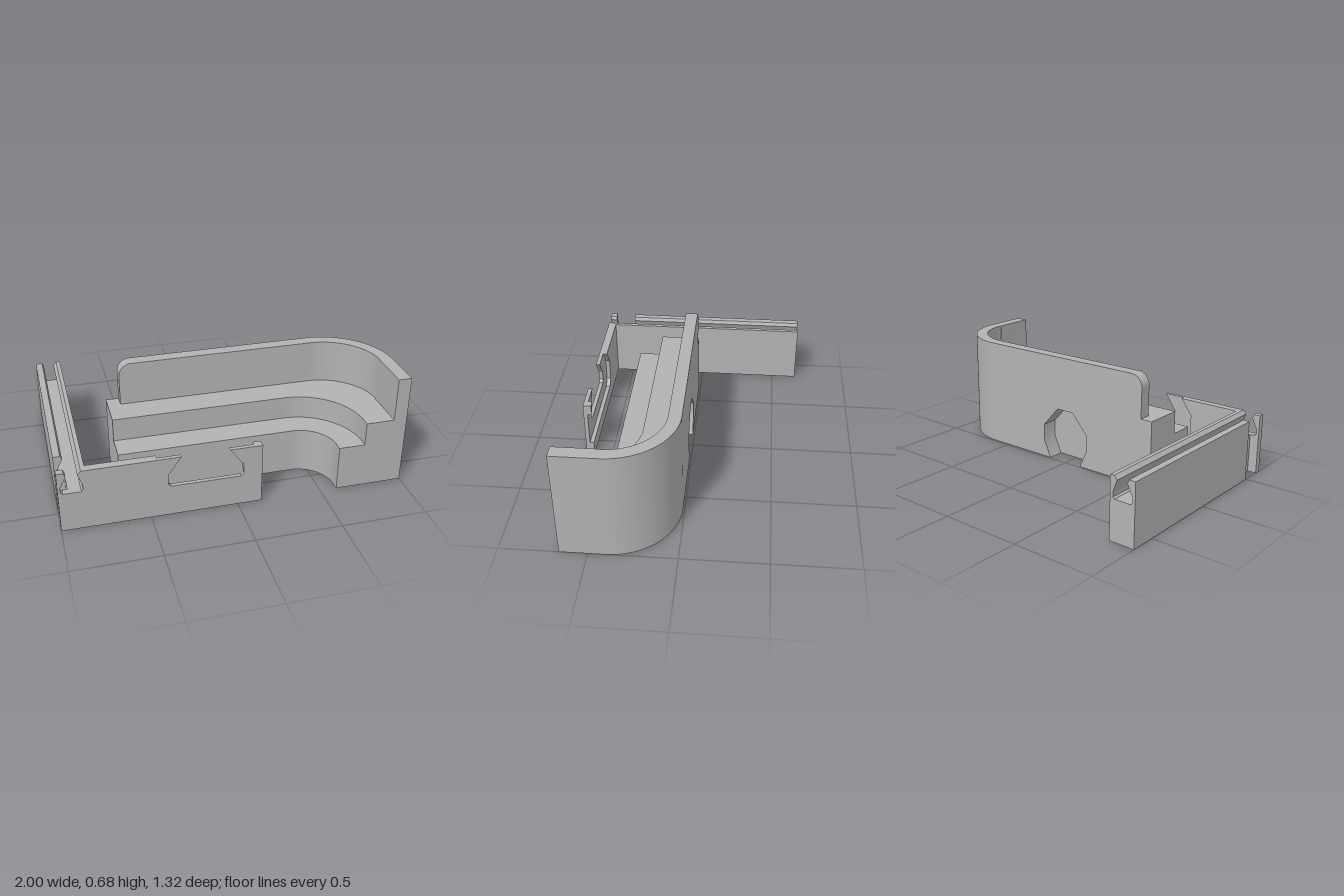
import * as THREE from 'three';
import { toCreasedNormals } from 'three/addons/utils/BufferGeometryUtils.js';

const grey = new THREE.MeshStandardMaterial({ color: 0xb2b2b2 });
grey.name = 'grey';

const polygon = (points) => new THREE.Shape(points.map(([x, y]) => new THREE.Vector2(x, y)));

function extrude(shape, depth) {
  return new THREE.ExtrudeGeometry(shape, { depth, bevelEnabled: false, curveSegments: 24 });
}

function addMesh(group, name, geometry) {
  const mesh = new THREE.Mesh(toCreasedNormals(geometry, 0.5), grey);
  mesh.name = name;
  group.add(mesh);
}

// Front outline (x, y) extruded from z0 to z1
function addUpright(group, name, shape, z0, z1) {
  addMesh(group, name, extrude(shape, z1 - z0).translate(0, 0, z0));
}

// Plan outline (x, z) extruded from y0 to y1
function addLayer(group, name, shape, y0, y1) {
  addMesh(group, name, extrude(shape, y1 - y0).rotateX(Math.PI / 2).translate(0, y1, 0));
}

const LEFT_END = -0.635, BACK = 0.01, FRONT = 0.66, SLOT_BACK = 0.115;

// Curved step in plan; r is the radius of its inner corner
function stepPlan(r) {
  const s = new THREE.Shape();
  s.moveTo(LEFT_END, SLOT_BACK);
  s.lineTo(0.6, SLOT_BACK);
  s.lineTo(0.6, BACK);
  s.lineTo(0.61, BACK);
  s.absarc(0.61, 0.4, 0.39, -Math.PI / 2, 0, false);
  s.lineTo(1, FRONT);
  s.lineTo(0.4 + r, FRONT);
  s.lineTo(0.4 + r, 0.61);
  s.absarc(0.4, 0.61, r, 0, -Math.PI / 2, true);
  s.lineTo(LEFT_END, 0.61 - r);
  s.closePath();
  return s;
}

function buildBody() {
  const body = new THREE.Group();
  body.name = 'steppedBody';

  // Stepped layers, the lowest with a round socket underneath
  const foot = stepPlan(0.2);
  const socket = new THREE.Path();
  socket.absarc(0.76, 0.245, 0.092, 0, Math.PI * 2, true);
  foot.holes.push(socket);
  addLayer(body, 'footLayer', foot, 0, 0.1);
  addLayer(body, 'lowerStep', stepPlan(0.2), 0.1, 0.275);
  addLayer(body, 'upperStep', stepPlan(0.355), 0.275, 0.415);

  // Back slab with a six-sided slot open at the bottom
  addUpright(body, 'slottedBack', polygon([
    [LEFT_END, 0], [-0.11, 0], [-0.16, 0.11], [-0.16, 0.215], [-0.05, 0.34],
    [0.07, 0.34], [0.18, 0.215], [0.18, 0.11], [0.13, 0], [0.6, 0], [0.6, 0.415], [LEFT_END, 0.415],
  ]), BACK, SLOT_BACK);

  // Thin wall: straight run with a rounded top corner, then the bend
  const run = new THREE.Shape();
  run.moveTo(-0.56, 0.415);
  run.lineTo(0.61, 0.415);
  run.lineTo(0.61, 0.675);
  run.lineTo(-0.485, 0.675);
  run.absarc(-0.485, 0.6, 0.075, Math.PI / 2, Math.PI, false);
  run.closePath();
  addUpright(body, 'straightWall', run, BACK, 0.085);

  const bend = new THREE.Shape();
  bend.moveTo(0.61, BACK);
  bend.absarc(0.61, 0.4, 0.39, -Math.PI / 2, 0, false);
  bend.lineTo(1, FRONT);
  bend.lineTo(0.922, FRONT);
  bend.lineTo(0.922, 0.4);
  bend.absarc(0.61, 0.4, 0.315, 0, -Math.PI / 2, true);
  bend.closePath();
  addLayer(body, 'curvedWall', bend, 0.415, 0.675);
  return body;
}

function buildRail() {
  const rail = new THREE.Group();
  rail.name = 'groovedRail';
  const rightHalf = [
    [-0.845, 0], [-0.845, 0.37], [-0.869, 0.37], [-0.888, 0.348],
    [-0.864, 0.28], [-0.864, 0.25], [-0.874, 0.24],
  ];
  const full = polygon([
    [-1, 0], ...rightHalf,
    [-0.973, 0.24], [-0.984, 0.25], [-0.984, 0.28], [-0.95, 0.348], [-0.96, 0.37], [-1, 0.37],
  ]);
  // The outer side is cut away near the front, leaving a thin end post
  const notched = polygon([[-0.945, 0], ...rightHalf, [-0.945, 0.24]]);
  addUpright(rail, 'railLength', full, -0.66, 0.49);
  addUpright(rail, 'railNotch', notched, 0.49, 0.62);
  addUpright(rail, 'railEnd', full, 0.62, 0.66);
  return rail;
}

function buildPlate() {
  const plate = new THREE.Group();
  plate.name = 'frontPlate';
  const L = -0.845, R = 0.14, T = 0.37;
  // Dovetail opening in the front layer
  addUpright(plate, 'plateFront', polygon([
    [L, 0], [R, 0], [R, T], [-0.05, T], [0.03, 0.265], [0.033, 0.205], [0.018, 0.188],
    [-0.385, 0.188], [-0.4, 0.205], [-0.397, 0.265], [-0.322, T], [L, T],
  ]), 0.635, FRONT);
  // Wider rebate behind it, running out at the free end
  addUpright(plate, 'plateBack', polygon([
    [L, 0], [R, 0], [R, 0.09], [-0.49, 0.09], [-0.53, 0.13], [-0.53, 0.27], [-0.457, T], [L, T],
  ]), 0.61, 0.635);
  addUpright(plate, 'plateBackCorner', polygon([[0.093, T], [R, 0.305], [R, T]]), 0.61, 0.635);
  return plate;
}

export function createModel() {
  const model = new THREE.Group();
  model.name = 'steppedTrayCorner';
  model.add(buildBody(), buildRail(), buildPlate());
  return model;
}
